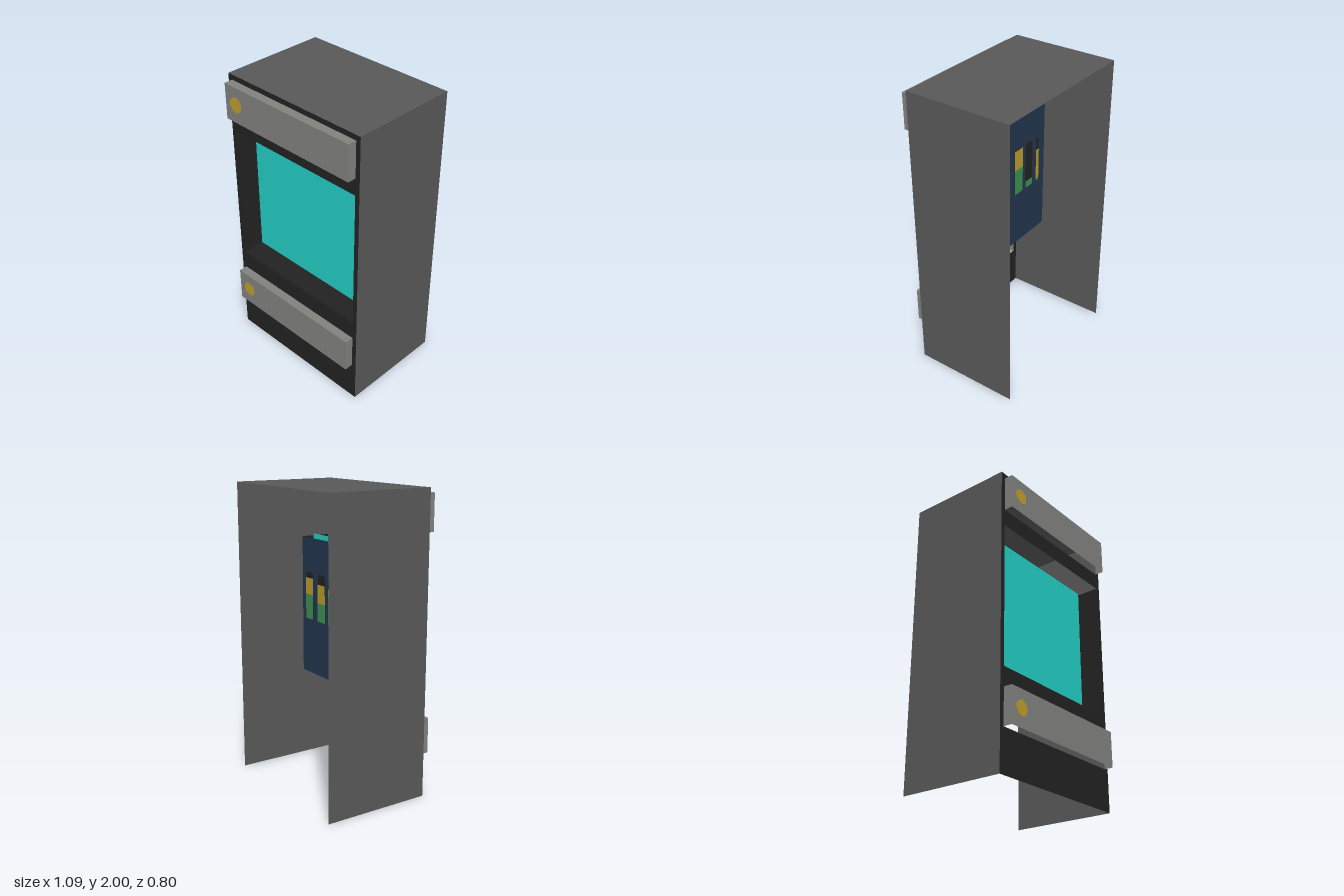
import * as THREE from 'three';

const mat = (name, color) => {
  const m = new THREE.MeshStandardMaterial({ color, side: THREE.DoubleSide });
  m.name = name;
  return m;
};

export function createModel() {
  const model = new THREE.Group();
  model.name = 'cabinet';
  const shell = mat('shellGrey', 0x585858);
  const black = mat('frameBlack', 0x222222);
  const grey = mat('drawerGrey', 0x80807d);
  const teal = mat('screenTeal', 0x22ccc2);
  const navy = mat('panelNavy', 0x22364d);
  const gold = mat('gold', 0xba9b2d);
  const green = mat('green', 0x3e8f50);

  const W = 0.545, H = 2, BACK = -0.397, FRONT = 0.338, LIP = 0.397, IN = 0.513;
  const drawers = [[0.28, 0.52], [1.725, 1.965]];
  const screen = [0.65, 1.61];

  const add = (name, geometry, material, x = 0, y = 0, z = 0, parent = model) => {
    const mesh = new THREE.Mesh(geometry, material);
    mesh.name = name;
    mesh.position.set(x, y, z);
    parent.add(mesh);
    return mesh;
  };
  // Thin sheets: upright facing sideways, and lying flat
  const sideSheet = (d, h) => new THREE.PlaneGeometry(d, h).rotateY(Math.PI / 2);
  const flatSheet = (w, d) => new THREE.PlaneGeometry(w, d).rotateX(-Math.PI / 2);

  // Outer shell, open at the back and underneath
  const depth = FRONT - BACK, midZ = (FRONT + BACK) / 2;
  for (const s of [-1, 1]) add(s > 0 ? 'leftWall' : 'rightWall', sideSheet(depth, H), shell, s * W, H / 2, midZ);
  add('roof', flatSheet(2 * W, depth), shell, 0, H, midZ);

  // Front frame with three openings
  const rect = (T, x0, y0, x1, y1) => {
    const p = new T();
    p.moveTo(x0, y0);
    p.lineTo(x1, y0);
    p.lineTo(x1, y1);
    p.lineTo(x0, y1);
    p.closePath();
    return p;
  };
  const frame = rect(THREE.Shape, -W, 0, W, H);
  for (const [y0, y1] of [...drawers, screen]) frame.holes.push(rect(THREE.Path, -IN, y0, IN, y1));
  add('frontFrame', new THREE.ShapeGeometry(frame), black, 0, 0, FRONT);

  // Hollow drawer fronts with a round knob, open at the back and bottom
  drawers.forEach(([y0, y1], i) => {
    const g = new THREE.Group();
    g.name = i ? 'upperDrawer' : 'lowerDrawer';
    model.add(g);
    const h = y1 - y0, yc = (y0 + y1) / 2, d = LIP - FRONT, zc = (LIP + FRONT) / 2;
    add('drawerFace', new THREE.PlaneGeometry(2 * IN, h), grey, 0, yc, LIP, g);
    add('drawerTop', flatSheet(2 * IN, d), grey, 0, y1, zc, g);
    for (const s of [-1, 1]) add('drawerSide', sideSheet(d, h), grey, s * IN, yc, zc, g);
    const disc = new THREE.CylinderGeometry(0.05, 0.05, 0.005, 32).rotateX(Math.PI / 2);
    add('knob', disc, gold, -0.422, yc + 0.002, LIP, g);
  });

  // Recessed screen housing, open at the top
  const box = new THREE.Group();
  box.name = 'screenHousing';
  model.add(box);
  const PANEL = 0.083, boxD = FRONT - PANEL, boxZ = (FRONT + PANEL) / 2;
  const sh = screen[1] - screen[0], sy = (screen[0] + screen[1]) / 2;
  for (const s of [-1, 1]) add('housingSide', sideSheet(boxD, sh), black, s * IN, sy, boxZ, box);
  add('housingFloor', flatSheet(2 * IN, boxD), black, 0, screen[0], boxZ, box);
  add('screen', new THREE.BoxGeometry(2 * IN, sh + 0.02, 0.008), teal, 0, sy, 0.178, box);
  add('backPanel', new THREE.PlaneGeometry(2 * IN, sh), navy, 0, sy, PANEL, box);

  // Level bars on the back panel: x range, bar top, gold top, green top
  const bars = [
    [0.376, 0.466, 1.37, 1.33, 1.214], [0.226, 0.316, 1.37, 1.30, 1.17],
    [0.12, 0.188, 1.37, 1.285, 1.237], [0.055, 0.092, 1.37, 1.22, 1.165],
    [0.013, 0.036, 1.37, 1.28, 1.05], [-0.077, -0.01, 1.37, 1.21, 1.144],
    [-0.258, -0.168, 1.375, 1.37, 1.225], [-0.372, -0.29, 1.375, 1.09, 1.09],
    [-0.446, -0.413, 1.37, 1.28, 1.06],
  ];
  const BOTTOM = 1.04;
  for (const [x0, x1, top, goldTop, greenTop] of bars) {
    const w = x1 - x0, xc = (x0 + x1) / 2, r = Math.min(w / 2, 0.03);
    const shape = new THREE.Shape();
    shape.moveTo(-w / 2, BOTTOM);
    shape.lineTo(w / 2, BOTTOM);
    shape.lineTo(w / 2, top - r);
    shape.quadraticCurveTo(w / 2, top, w / 2 - r, top);
    shape.lineTo(-w / 2 + r, top);
    shape.quadraticCurveTo(-w / 2, top, -w / 2, top - r);
    add('barTrack', new THREE.ShapeGeometry(shape, 6), black, xc, 0, PANEL - 0.002, box);
    const band = (name, y0, y1, m) => {
      if (y1 - y0 > 0.001) add(name, new THREE.PlaneGeometry(w, y1 - y0), m, xc, (y0 + y1) / 2, PANEL - 0.004, box);
    };
    band('barGold', greenTop, goldTop, gold);
    band('barGreen', BOTTOM, greenTop, green);
  }
  return model;
}
